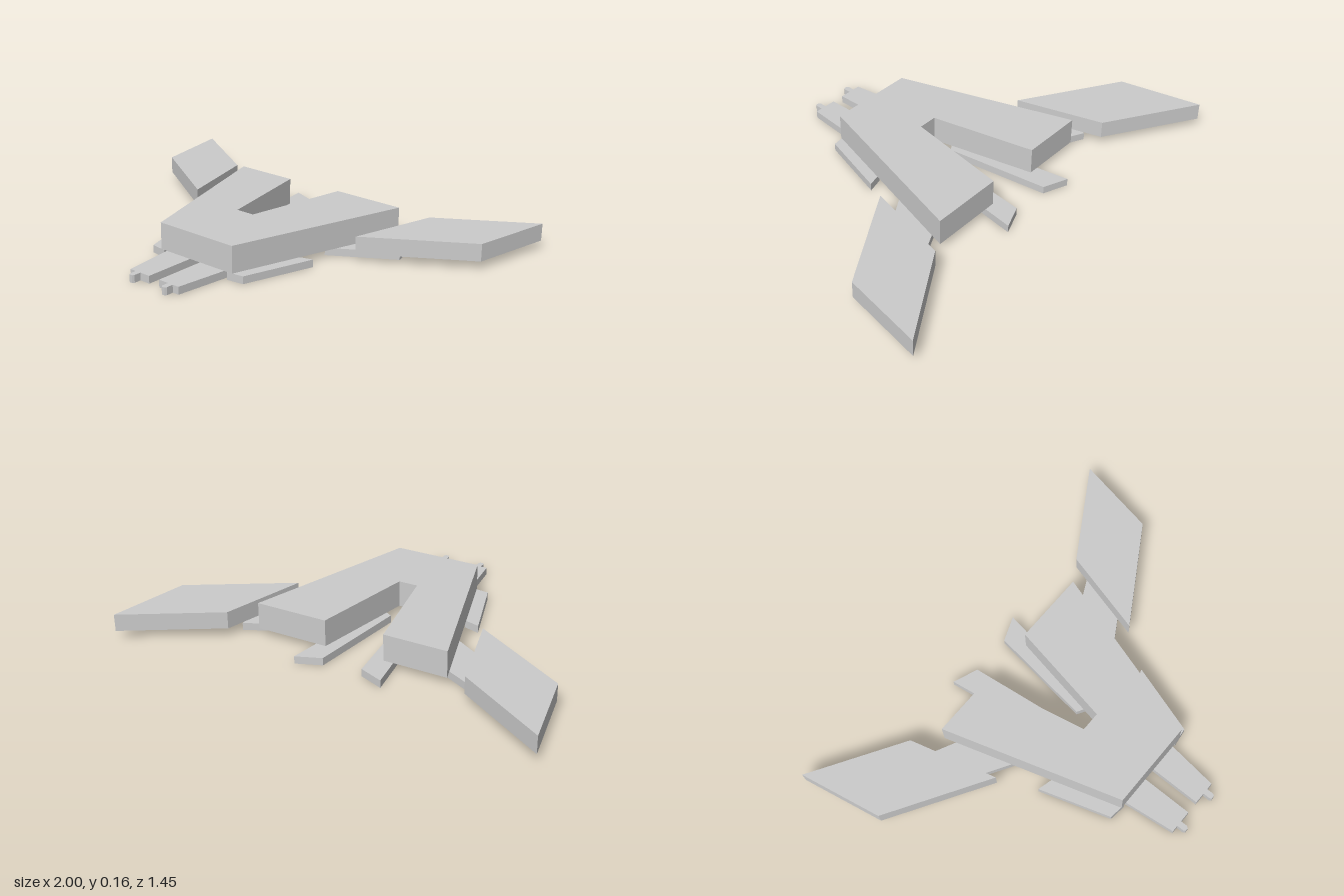
import * as THREE from 'three';

const material = new THREE.MeshStandardMaterial({ color: 0xcccccc, flatShading: true });

// Flat plate from an outline of [x, z] corners, standing between two heights
function plate(name, outline, bottom, top) {
  const shape = new THREE.Shape(outline.map(([x, z]) => new THREE.Vector2(x, -z)));
  const geometry = new THREE.ExtrudeGeometry(shape, { depth: top - bottom, bevelEnabled: false });
  geometry.rotateX(-Math.PI / 2).translate(0, bottom, 0);
  const mesh = new THREE.Mesh(geometry, material);
  mesh.name = name;
  return mesh;
}

// Left (+x) outlines; shift is the x of the pair's mirror line
const pairs = [
  { name: 'Wing', bottom: 0.04, top: 0.12, shift: 0,
    outline: [[1, -0.725], [0.58, -0.465], [0.47, -0.06], [0.925, -0.34]] },
  { name: 'WingBracket', bottom: 0, top: 0.035, shift: 0,
    outline: [[0.56, -0.385], [0.6, -0.21], [0.32, -0.04], [0.41, -0.31]] },
  { name: 'TailFin', bottom: 0, top: 0.035, shift: -0.02,
    outline: [[0.19, -0.53], [0.075, -0.485], [0.015, 0], [0.1, 0.05]] },
  { name: 'SidePanel', bottom: 0, top: 0.035, shift: -0.005,
    outline: [[0.365, 0.1], [0.26, 0.43], [0.18, 0.44], [0.29, 0.12]] },
  // Front prong with a small rounded tip
  { name: 'FrontProng', bottom: 0, top: 0.035, shift: -0.0075,
    outline: [[0.022, 0.2], [0.022, 0.68], [0.074, 0.68], [0.074, 0.713], [0.08, 0.722],
      [0.095, 0.722], [0.101, 0.713], [0.101, 0.68], [0.133, 0.68], [0.19, 0.2]] },
];

export function createModel() {
  const model = new THREE.Group();
  model.name = 'wingedCraft';

  // V-shaped main hull
  model.add(plate('hull', [[-0.46, -0.38], [-0.16, -0.38], [-0.063, 0.105], [0.028, 0.105],
    [0.12, -0.39], [0.465, -0.39], [0.208, 0.44], [-0.208, 0.44]], 0.036, 0.16));

  // Mirrored parts
  for (const { name, outline, bottom, top, shift } of pairs) {
    const mirrored = outline.map(([x, z]) => [2 * shift - x, z]);
    model.add(plate('left' + name, outline, bottom, top));
    model.add(plate('right' + name, mirrored, bottom, top));
  }
  return model;
}
